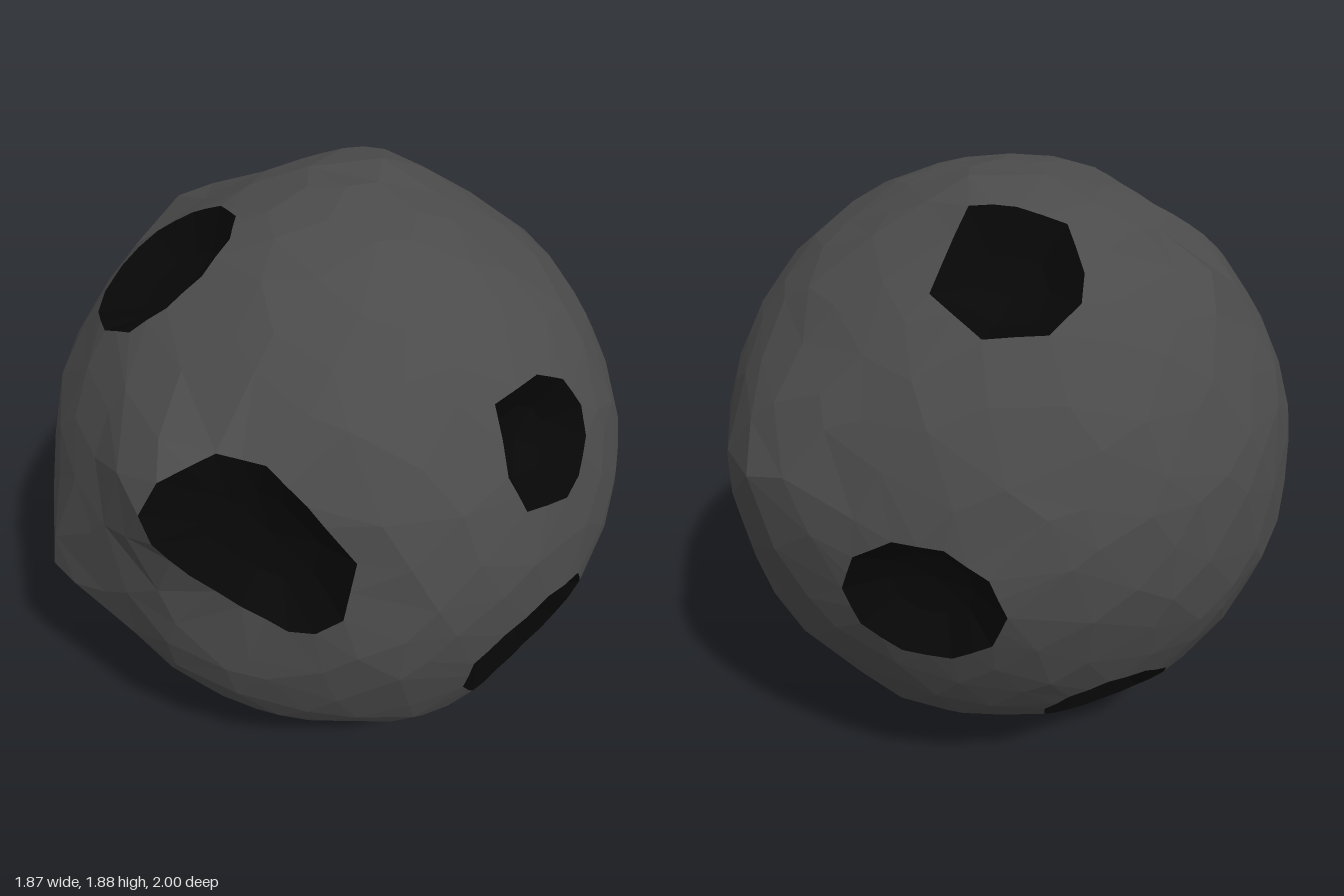
import * as THREE from 'three';
import { ConvexGeometry } from 'three/addons/geometries/ConvexGeometry.js';

const R = 0.942;
const CENTRE_Y = 0.945;
const V = (x, y, z) => new THREE.Vector3(x, y, z);

// Raised lips, ridges and dents: direction, height, angular width
const bumps = [
  [V(-0.18, -0.165, 1), 0.09, 0.19],
  [V(0.36, 0.41, 0.89), 0.11, 0.2],
  [V(0.6, 0.05, 0.66), -0.05, 0.25],
  [V(0.73, 0.24, 0.48), -0.025, 0.17],
  [V(0, 0.2, -1), 0.075, 0.25],
  [V(-0.18, 0.935, -0.28), 0.045, 0.2],
  [V(-0.66, 0.7, 0.18), 0.045, 0.17],
  [V(-0.45, 0.79, 0.2), -0.025, 0.15],
  [V(-0.72, 0, -0.64), 0.025, 0.2],
  [V(0.76, -0.58, 0.2), 0.025, 0.2],
].map(([d, h, w]) => [d.normalize(), h, w]);

// Crater rims as outlines on the plane each one is seen against
const front = (a, b, d) => V(a, b - CENTRE_Y, d);
const side = (a, b, d) => V(d, b - CENTRE_Y, a);
const top = (a, b, d) => V(a, d, b);
const outlines = [
  ['upperFrontCrater', top, [[-0.43, 0.52], [-0.4, 0.4], [-0.33, 0.31], [-0.22, 0.27], [-0.1, 0.29], [-0.02, 0.36],
    [0.02, 0.48], [0, 0.59], [-0.07, 0.68], [-0.2, 0.7], [-0.33, 0.66], [-0.4, 0.6]]],
  ['leftFrontCrater', front, [[0.36, 1.33], [0.37, 1.42], [0.42, 1.48], [0.52, 1.46], [0.63, 1.37], [0.74, 1.2],
    [0.75, 1.02], [0.7, 0.96], [0.64, 0.95], [0.54, 1.02], [0.45, 1.13], [0.39, 1.24]]],
  ['rightFrontCrater', front, [[-0.58, 0.89], [-0.47, 0.82], [-0.36, 0.74], [-0.26, 0.66], [-0.25, 0.57], [-0.3, 0.52],
    [-0.38, 0.49], [-0.51, 0.48], [-0.58, 0.5], [-0.66, 0.58], [-0.7, 0.7], [-0.66, 0.82]]],
  ['upperLeftCrater', side, [[0.03, 1.36], [0, 1.53], [-0.18, 1.54], [-0.28, 1.49], [-0.33, 1.4],
    [-0.32, 1.32], [-0.25, 1.24], [-0.18, 1.21], [-0.01, 1.25]]],
  ['lowerLeftCrater', side, [[0.15, 0.6], [0.15, 0.74], [0.06, 0.83], [-0.1, 0.9], [-0.27, 0.87],
    [-0.35, 0.75], [-0.32, 0.57], [-0.24, 0.44], [-0.1, 0.41], [0.05, 0.46]]],
  ['topBackCrater', top, [[-0.58, -0.38], [-0.47, -0.52], [-0.38, -0.54], [-0.29, -0.55], [-0.21, -0.34],
    [-0.3, -0.24], [-0.4, -0.14], [-0.53, -0.2], [-0.58, -0.26]]],
];
// Round craters: name, centre, half width, half height
const ovals = [
  ['lowerRightCrater', V(-0.665, -0.6, -0.19), 0.22, 0.21],
  ['backRightCrater', V(-0.49, -0.08, -0.76), 0.25, 0.21],
];

// Surface radius in a given direction
function radiusAt(dir) {
  let r = R;
  for (const [d, h, w] of bumps) r += h * Math.exp(-((dir.angleTo(d) / w) ** 2));
  const { x, y, z } = dir;
  return r + 0.005 * Math.sin(7 * x + 4 * y) * Math.cos(6 * z - 5 * y);
}

// Lifts an outline point onto the surface and returns its direction
function lift(place, [a, b]) {
  const flat = place(a, b, 0).lengthSq();
  let depth = 0.7;
  for (let i = 0; i < 20; i++) {
    const r = radiusAt(place(a, b, depth).normalize());
    depth = (depth + Math.sqrt(Math.max(r * r - flat, 0.01))) / 2;
  }
  return place(a, b, depth).normalize();
}

function ovalRim(centre, w, h) {
  const n = centre.clone().normalize();
  const u = V(0, 1, 0).cross(n).normalize();
  const v = n.clone().cross(u);
  return Array.from({ length: 10 }, (_, i) => {
    const t = (i / 10) * Math.PI * 2;
    return n.clone().multiplyScalar(R)
      .addScaledVector(u, w * Math.cos(t)).addScaledVector(v, h * Math.sin(t)).normalize();
  });
}

// Splits long rim edges so the surrounding rock cannot cut across them
function subdivide(rim) {
  return rim.flatMap((p, i) => {
    const next = rim[(i + 1) % rim.length];
    const n = Math.ceil(p.distanceTo(next) / 0.11);
    return Array.from({ length: n }, (_, k) => p.clone().lerp(next, k / n).normalize());
  });
}

function geometryFrom(positions) {
  const g = new THREE.BufferGeometry();
  g.setAttribute('position', new THREE.Float32BufferAttribute(positions, 3));
  g.computeVertexNormals();
  return g;
}

export function createModel() {
  const rockGrey = new THREE.MeshStandardMaterial({ color: 0x4b4b4b });
  const craterBlack = new THREE.MeshStandardMaterial({ color: 0x070707 });
  rockGrey.name = 'rockGrey';
  craterBlack.name = 'craterBlack';

  let seed = 7;
  const random = () => (seed = (seed * 16807) % 2147483647) / 2147483647 - 0.5;

  const dirs = [];
  const info = new Map();
  const key = (x, y, z) => `${x},${y},${z}`;
  const add = (d, crater, drop) => {
    d.set(Math.fround(d.x), Math.fround(d.y), Math.fround(d.z));
    dirs.push(d);
    info.set(key(d.x, d.y, d.z), { crater, point: d.clone().multiplyScalar(radiusAt(d) - drop) });
  };
  const clear = (d, gap) => dirs.every((p) => p.distanceTo(d) > gap);

  // Crater points: rim, sunken ring and centre
  const craters = [
    ...outlines.map(([name, place, pts]) => [name, subdivide(pts.map((p) => lift(place, p)))]),
    ...ovals.map(([name, c, w, h]) => [name, subdivide(ovalRim(c, w, h))]),
  ];
  craters.forEach(([, rim], i) => {
    const mid = rim.reduce((s, p) => s.add(p), V(0, 0, 0)).normalize();
    rim.forEach((p, k) => {
      if (k % 2 === 0) add(p.clone().lerp(mid, 0.4).normalize(), i, 0.1);
    });
    add(mid, i, 0.14);
    rim.forEach((p) => add(p.clone(), i, 0));
  });

  // Peaks, then scattered points over the rest of the rock
  bumps.forEach(([d]) => { if (clear(d, 0.09)) add(d.clone(), -1, 0); });
  const count = 430;
  for (let i = 0; i < count; i++) {
    const y = 1 - (2 * (i + 0.5)) / count;
    const t = i * Math.PI * (3 - Math.sqrt(5));
    const s = Math.sqrt(1 - y * y);
    const d = V(s * Math.cos(t) + random() * 0.09, y + random() * 0.09, s * Math.sin(t) + random() * 0.09).normalize();
    if (clear(d, 0.09)) add(d, -1, random() * 0.008);
  }

  // Join the directions into triangles, then move each to its own radius
  const hull = new ConvexGeometry(dirs).getAttribute('position');
  const rock = [];
  const floors = craters.map(() => []);
  for (let i = 0; i < hull.count; i += 3) {
    const tri = [0, 1, 2].map((k) => info.get(key(hull.getX(i + k), hull.getY(i + k), hull.getZ(i + k))));
    const c = tri[0].crater;
    const inside = c >= 0 && tri.every((p) => p.crater === c);
    for (const { point } of tri) (inside ? floors[c] : rock).push(point.x, point.y, point.z);
  }

  const model = new THREE.Group();
  model.name = 'crateredRock';
  const addMesh = (name, positions, material) => {
    const mesh = new THREE.Mesh(geometryFrom(positions), material);
    mesh.name = name;
    mesh.position.y = CENTRE_Y;
    model.add(mesh);
  };
  addMesh('rockSurface', rock, rockGrey);
  craters.forEach(([name], i) => addMesh(name, floors[i], craterBlack));
  return model;
}
